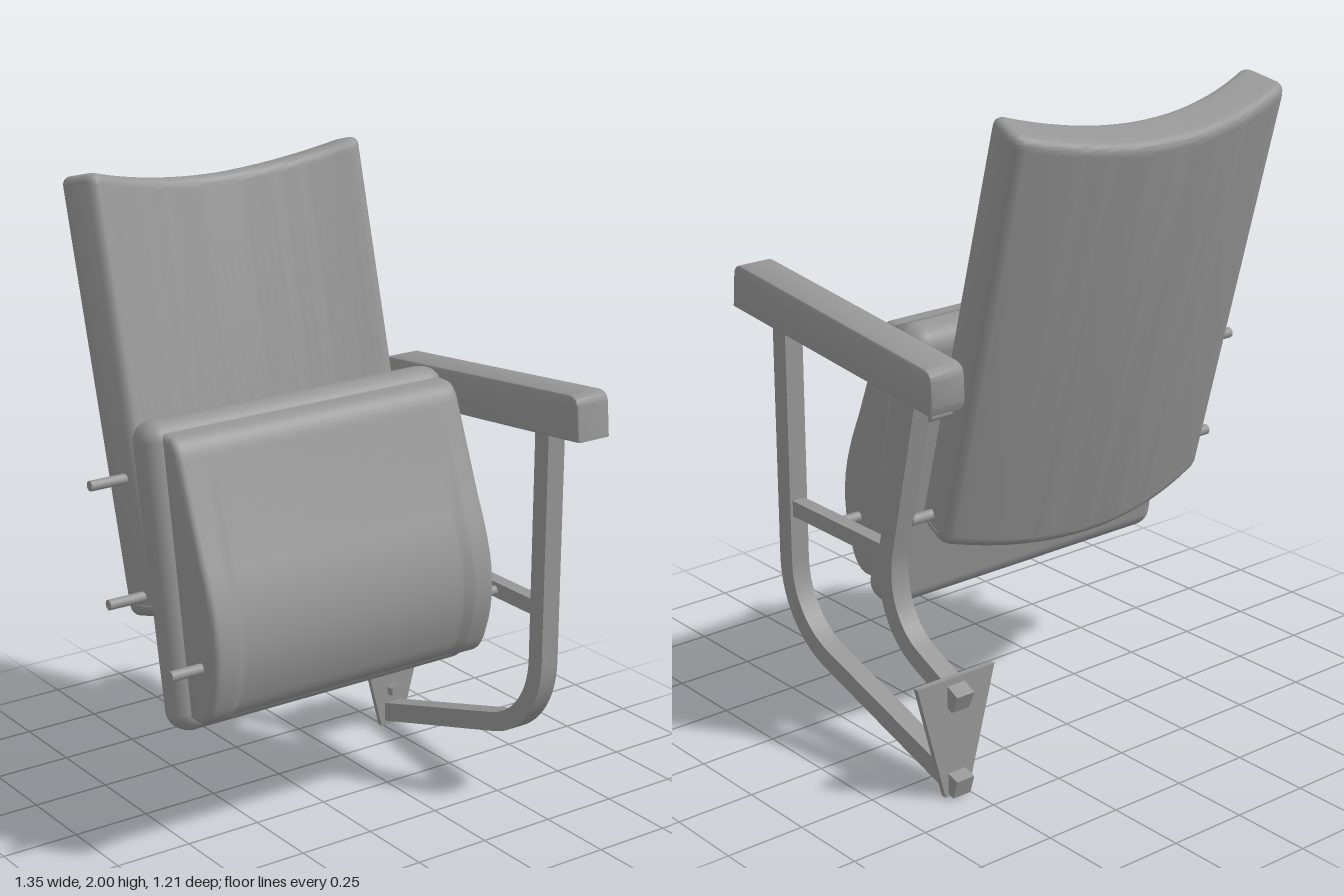
import * as THREE from 'three';
import { toCreasedNormals } from 'three/addons/utils/BufferGeometryUtils.js';
import { RoundedBoxGeometry } from 'three/addons/geometries/RoundedBoxGeometry.js';

const MID = -0.0625; // centre line of seat and backrest
const HALF = 0.5075; // half width of backrest and seat shell
const FRAME_X = 0.537; // centre line of the side frame

export function createModel() {
  const model = new THREE.Group();
  const material = new THREE.MeshStandardMaterial({ color: 0x969696 });

  const add = (name, geometry, x = 0, y = 0, z = 0) => {
    const mesh = new THREE.Mesh(geometry, material);
    mesh.name = name;
    mesh.position.set(x, y, z);
    model.add(mesh);
    return mesh;
  };

  // Side profile drawn in (z, y), extruded across x; bend(v) may move each vertex
  const sideExtrude = (shape, width, bevel, steps = 1, bend = null) => {
    const g = new THREE.ExtrudeGeometry(shape, {
      depth: width - 2 * bevel, steps, bevelEnabled: bevel > 0, bevelSize: bevel,
      bevelThickness: bevel, bevelOffset: -bevel, bevelSegments: 4, curveSegments: 10,
    });
    g.translate(0, 0, -(width - 2 * bevel) / 2);
    g.rotateY(-Math.PI / 2);
    if (bend) {
      const pos = g.attributes.position;
      const v = new THREE.Vector3();
      for (let i = 0; i < pos.count; i++) {
        bend(v.fromBufferAttribute(pos, i));
        pos.setXYZ(i, v.x, v.y, v.z);
      }
    }
    return toCreasedNormals(g, 0.7);
  };

  // Flat-sided bar following a path in (z, y)
  const bar = (path, thickness, width) => {
    const pts = path.getPoints(14);
    const left = [], right = [];
    pts.forEach((p, i) => {
      const a = pts[Math.max(i - 1, 0)], b = pts[Math.min(i + 1, pts.length - 1)];
      const t = b.clone().sub(a).normalize().multiplyScalar(thickness / 2);
      left.push(new THREE.Vector2(p.x - t.y, p.y + t.x));
      right.unshift(new THREE.Vector2(p.x + t.y, p.y - t.x));
    });
    return sideExtrude(new THREE.Shape([...left, ...right]), width, 0);
  };

  // Backrest: rounded slab, bowed backward and sagging toward its middle
  const [z0, z1, y0, y1, r] = [-0.085, 0.07, -0.415, 0.905, 0.038];
  const slab = new THREE.Shape();
  slab.moveTo(z0 + r, y0);
  slab.lineTo(z1 - r, y0);
  slab.quadraticCurveTo(z1, y0, z1, y0 + r);
  slab.lineTo(z1, y1 - r);
  slab.quadraticCurveTo(z1, y1, z1 - r, y1);
  slab.lineTo(z0 + r, y1);
  slab.quadraticCurveTo(z0, y1, z0, y1 - r);
  slab.lineTo(z0, y0 + r);
  slab.quadraticCurveTo(z0, y0, z0 + r, y0);
  const backGeo = sideExtrude(slab, 2 * HALF, 0.03, 32, (v) => {
    const bow = 1 - (v.x / HALF) ** 2;
    v.x *= 1 - 0.06 * THREE.MathUtils.smoothstep(v.z, -0.02, z1);
    v.y -= 0.055 * bow;
    v.z -= 0.085 * bow;
  });
  const back = add('backrest', backGeo, MID, 1.125, -0.23);
  back.rotation.x = -0.258;

  // Folded seat: cushion behind, bulging shell in front with a shallow sunk panel
  const pad = add('seatCushion', new RoundedBoxGeometry(1.08, 0.927, 0.138, 5, 0.06), MID, 0.886, 0);
  pad.rotation.x = -0.184;

  const shell = new THREE.Shape();
  shell.moveTo(0, 1.325);
  shell.lineTo(0.04, 1.325);
  shell.quadraticCurveTo(0.075, 1.32, 0.095, 1.265);
  shell.lineTo(0.2, 1.0);
  shell.bezierCurveTo(0.265, 0.86, 0.315, 0.73, 0.25, 0.56);
  shell.quadraticCurveTo(0.225, 0.485, 0.17, 0.485);
  shell.lineTo(0.13, 0.485);
  shell.closePath();
  add('seatShell', sideExtrude(shell, 2 * HALF, 0.02, 60, (v) => {
    if (Math.abs(v.x) < 0.41 && v.y < 1.25) v.z -= 0.012;
  }), MID);

  // Hinge pins on both sides of the backrest and the seat
  for (const [y, z] of [[1.125, -0.23], [0.78, -0.14], [0.67, 0.2]]) {
    for (const [x, length] of [[-0.59, 0.17], [0.45, 0.12]]) {
      const g = new THREE.CylinderGeometry(0.016, 0.016, length, 16);
      g.rotateZ(Math.PI / 2);
      add('hingePin', g, x, y, z);
    }
  }

  // Side frame
  const front = new THREE.Path();
  front.moveTo(0.41, 1.28);
  front.lineTo(0.41, 0.5);
  front.bezierCurveTo(0.41, 0.37, 0.33, 0.265, 0.21, 0.228);
  front.lineTo(-0.41, 0.038);
  add('frontLeg', bar(front, 0.062, 0.063), FRAME_X);

  const rear = new THREE.Path();
  rear.moveTo(-0.22, 1.22);
  rear.lineTo(-0.1, 0.7);
  rear.bezierCurveTo(-0.07, 0.58, -0.11, 0.45, -0.22, 0.395);
  rear.lineTo(-0.41, 0.31);
  add('rearLeg', bar(rear, 0.062, 0.063), FRAME_X);

  add('crossBar', new THREE.BoxGeometry(0.045, 0.05, 0.47), FRAME_X, 0.67, 0.165);

  // Armrest with rounded upper corners
  const arm = new THREE.Shape();
  arm.moveTo(-0.34, 1.172);
  arm.lineTo(0.61, 1.265);
  arm.lineTo(0.6, 1.37);
  arm.quadraticCurveTo(0.595, 1.402, 0.56, 1.4);
  arm.lineTo(-0.32, 1.308);
  arm.quadraticCurveTo(-0.35, 1.3, -0.35, 1.27);
  arm.lineTo(-0.353, 1.2);
  arm.closePath();
  add('armrest', sideExtrude(arm, 0.12, 0.006), FRAME_X - 0.002);

  // Wall bracket and its hex bolts
  const plate = new THREE.Shape([
    new THREE.Vector2(-0.143, 0.38), new THREE.Vector2(-0.045, 0.005),
    new THREE.Vector2(0.042, 0.005), new THREE.Vector2(0.14, 0.38),
  ]);
  const plateGeo = new THREE.ExtrudeGeometry(plate, { depth: 0.018, bevelEnabled: false });
  add('bracketPlate', plateGeo, FRAME_X, 0, -0.378);
  for (const [x, y] of [[-0.078, 0.34], [0.08, 0.34], [0, 0.13]]) {
    const g = toCreasedNormals(new THREE.CylinderGeometry(0.025, 0.025, 0.03, 6), 0.3);
    g.rotateX(Math.PI / 2);
    add('bracketBolt', g, FRAME_X + x, y, -0.347);
  }

  return model;
}
